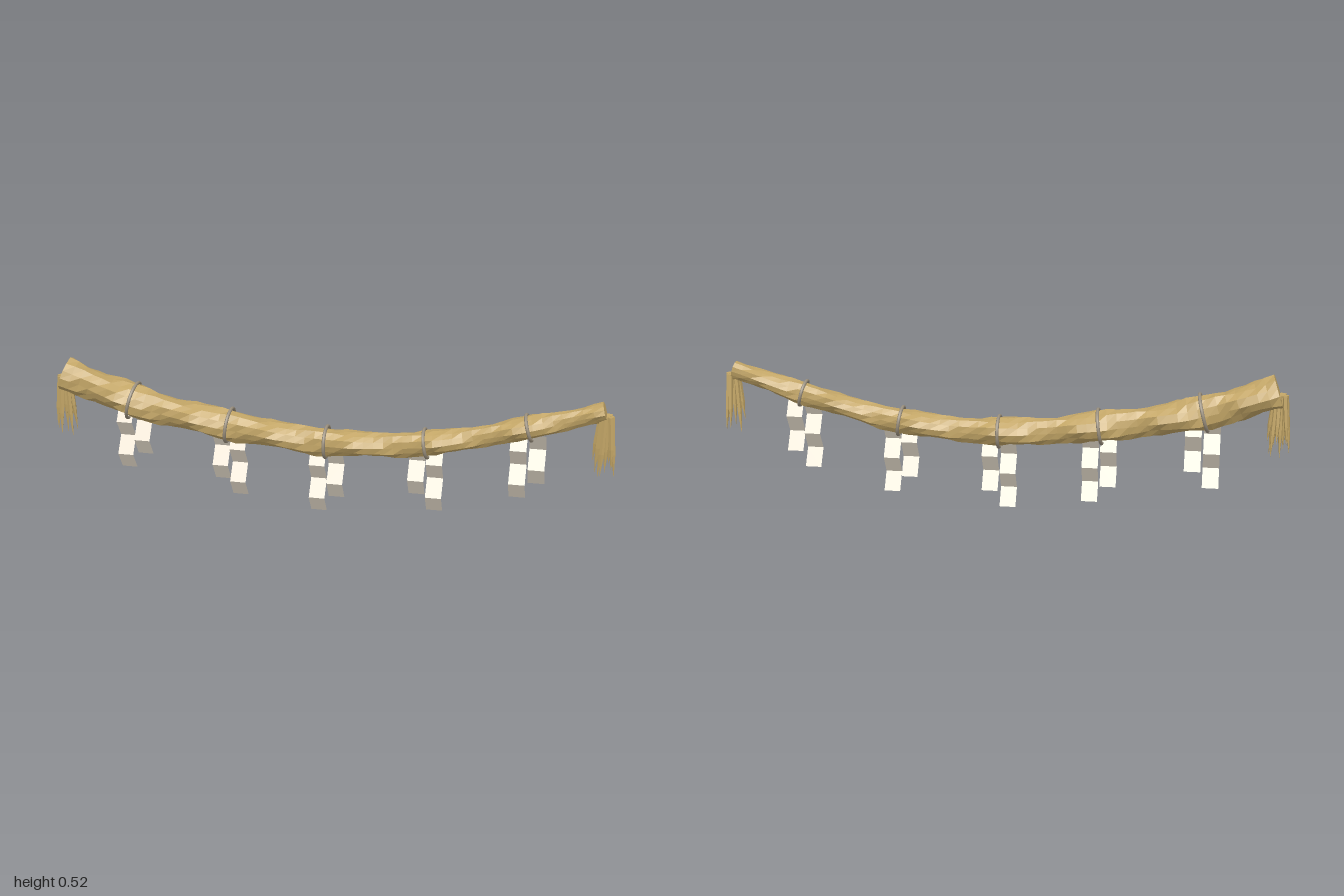
import * as THREE from 'three';

const straw = new THREE.MeshStandardMaterial({ color: 0xc2a566, flatShading: true });
straw.name = 'straw';
const paper = new THREE.MeshStandardMaterial({ color: 0xe6dccb, side: THREE.DoubleSide, flatShading: true });
paper.name = 'paper';
const cord = new THREE.MeshStandardMaterial({ color: 0x9c917f });
cord.name = 'cord';

// Sagging centre line of the rope; it is thick at one end and thin at the other
const path = new THREE.CatmullRomCurve3([
  [-0.955, 0.455], [-0.7, 0.37], [-0.35, 0.306], [0, 0.272], [0.35, 0.295], [0.7, 0.381], [0.957, 0.46],
].map(([x, y]) => new THREE.Vector3(x, y, 0)));
const radiusAt = (x) => 0.045 - 0.013 * x + 0.003 * Math.cos(x * 18);

function frameAt(u) {
  const centre = path.getPointAt(u);
  const tangent = path.getTangentAt(u);
  return { centre, tangent, normal: new THREE.Vector3(-tangent.y, tangent.x, 0) };
}

// Finds the place on the path with a given x
function uAtX(x) {
  let lo = 0, hi = 1;
  for (let i = 0; i < 30; i++) {
    const mid = (lo + hi) / 2;
    if (path.getPointAt(mid).x < x) lo = mid; else hi = mid;
  }
  return lo;
}

// Twisted rope: three-lobed cross-sections turning along the path
function ropeGeometry(stations = 56, sides = 12) {
  const pos = [], idx = [];
  for (let i = 0; i <= stations; i++) {
    const u = i / stations;
    const { centre, normal } = frameAt(u);
    for (let j = 0; j < sides; j++) {
      const a = (j / sides) * Math.PI * 2;
      const bump = 0.1 * Math.cos(3 * a - u * 42) + 0.04 * Math.sin(i * 2.3 + j * 4.1);
      const r = radiusAt(centre.x) * (1.02 + bump);
      const p = centre.clone().addScaledVector(normal, r * Math.cos(a));
      pos.push(p.x, p.y, r * 1.08 * Math.sin(a));
    }
  }
  for (let i = 0; i < stations; i++) {
    for (let j = 0; j < sides; j++) {
      const k = (j + 1) % sides;
      const a = i * sides + j, b = i * sides + k;
      idx.push(a, b, a + sides, b, b + sides, a + sides);
    }
  }
  // end caps
  const first = pos.length / 3, last = stations * sides;
  for (const u of [0, 1]) pos.push(...path.getPointAt(u).toArray());
  for (let j = 0; j < sides; j++) {
    const k = (j + 1) % sides;
    idx.push(first, k, j, first + 1, last + j, last + k);
  }
  const g = new THREE.BufferGeometry();
  g.setAttribute('position', new THREE.Float32BufferAttribute(pos, 3));
  g.setIndex(idx);
  g.computeVertexNormals();
  return g;
}

// Folded paper strip hanging from its top edge, each panel slanting the other way
function streamerGeometry(panels, height, width = 0.057) {
  const g = new THREE.PlaneGeometry(width, height, 1, panels);
  g.translate(0, -height / 2, 0);
  const p = g.attributes.position;
  for (let i = 0; i < p.count; i++) {
    const fromBottom = panels - Math.floor(i / 2);
    p.setZ(i, fromBottom % 2 ? 0.02 : -0.02);
  }
  g.computeVertexNormals();
  return g;
}

// Bundle of pointed straw strands that fan out downwards
function tassel(x, name) {
  const group = new THREE.Group();
  group.name = name;
  const count = 12;
  for (let i = 0; i < count; i++) {
    const a = (i / count) * Math.PI * 2 + 0.2;
    const inner = i % 3 === 2;
    const length = 0.195 + 0.028 * Math.sin(i * 2.7 + x);
    const profile = [[0, -length], [0.008, -length * 0.62], [0.009, 0], [0, 0]];
    const strand = new THREE.Mesh(
      new THREE.LatheGeometry(profile.map(([r, y]) => new THREE.Vector2(r, y)), 5), straw);
    strand.name = 'tasselStrand';
    const topR = inner ? 0.008 : 0.019, tipR = inner ? 0.018 : 0.039;
    strand.position.set(x + topR * Math.cos(a), 0.445, topR * Math.sin(a));
    const up = new THREE.Vector3((topR - tipR) * Math.cos(a), length, (topR - tipR) * Math.sin(a)).normalize();
    strand.quaternion.setFromUnitVectors(new THREE.Vector3(0, 1, 0), up);
    group.add(strand);
  }
  return group;
}

export function createModel() {
  const model = new THREE.Group();
  model.name = 'strawRopeGarland';

  const rope = new THREE.Mesh(ropeGeometry(), straw);
  rope.name = 'twistedRope';
  model.add(rope);

  model.add(tassel(-0.961, 'rightTassel'), tassel(0.961, 'leftTassel'));

  // Cord rings, each with one long and one short paper streamer
  const longStreamer = streamerGeometry(4, 0.247);
  const shortStreamer = streamerGeometry(3, 0.19);
  [-0.705, -0.35, 0.003, 0.355, 0.706].forEach((x, i) => {
    const { centre, tangent } = frameAt(uAtX(x));
    const ring = new THREE.Mesh(
      new THREE.TorusGeometry(radiusAt(x) * 1.1 + 0.003, 0.006, 8, 28), cord);
    ring.name = 'cordRing';
    ring.position.copy(centre);
    ring.quaternion.setFromUnitVectors(new THREE.Vector3(0, 0, 1), tangent);
    model.add(ring);

    const side = i % 2 ? 1 : -1;
    const top = [0.352, 0.282, 0.247, 0.285, 0.362][i];
    const long = new THREE.Mesh(longStreamer, paper);
    long.name = 'longStreamer';
    long.position.set(x + side * 0.032, top, 0);
    const short = new THREE.Mesh(shortStreamer, paper);
    short.name = 'shortStreamer';
    short.position.set(x - side * 0.032, top, 0);
    model.add(long, short);
  });

  return model;
}
